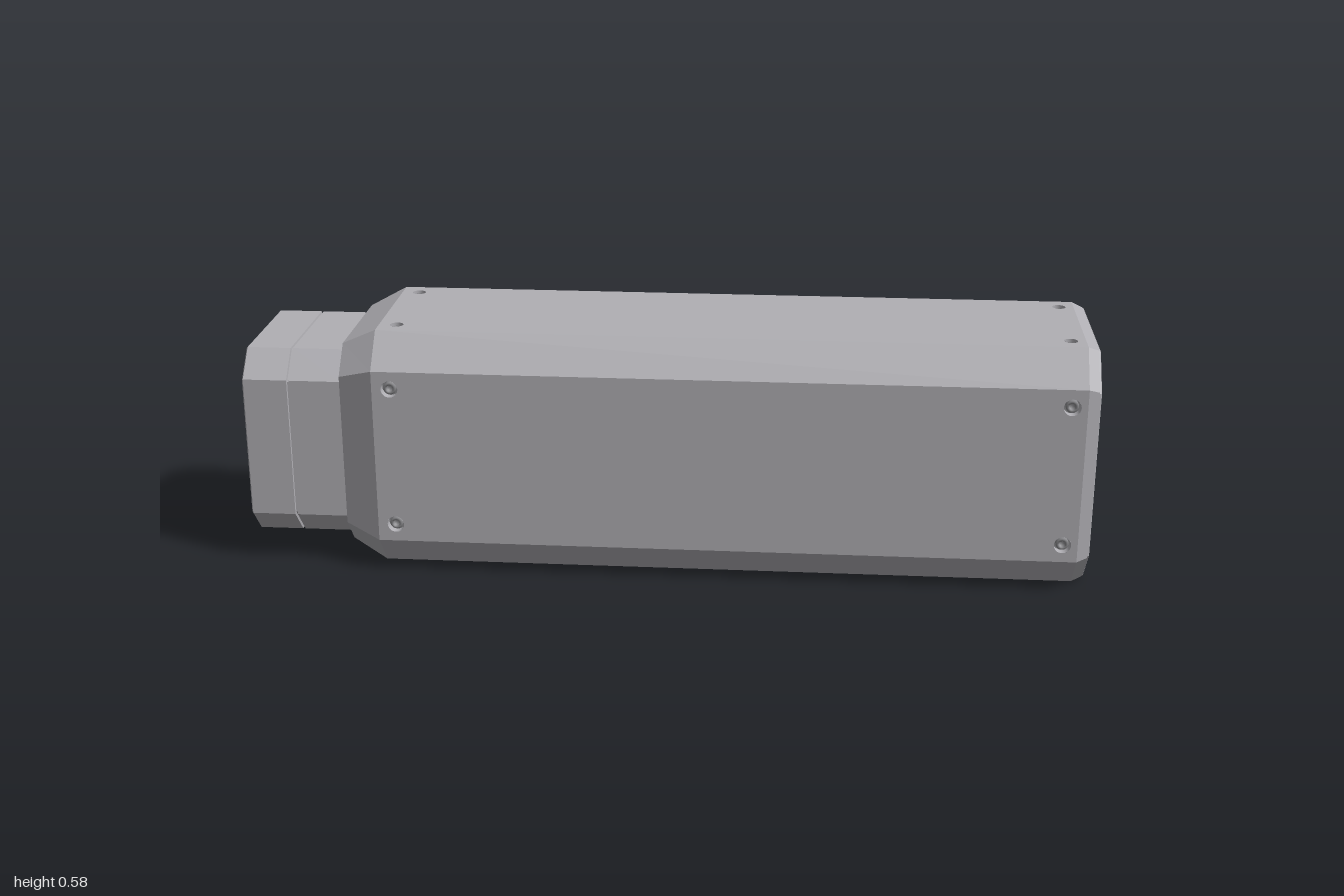
import * as THREE from 'three';

const mat = (name, color, side = THREE.FrontSide) => {
  const m = new THREE.MeshStandardMaterial({ color, side });
  m.name = name;
  return m;
};

export function createModel() {
  const shell = mat('shellGrey', 0xb0afb4, THREE.DoubleSide);
  const steel = mat('boltGrey', 0x89898c);
  const blue = mat('lensBlue', 0x0e3460);
  const dark = mat('lensDark', 0x26243a);

  const root = new THREE.Group();
  root.name = 'housing';
  // The long axis is built along local z, then turned to lie along x
  const axis = new THREE.Group();
  axis.name = 'assembly';
  axis.rotation.y = Math.PI / 2;
  axis.position.y = 0.2925;
  root.add(axis);

  const add = (parent, name, geo, material, z = 0, x = 0, y = 0) => {
    const m = new THREE.Mesh(geo, material);
    m.name = name;
    m.position.set(x, y, z);
    parent.add(m);
    return m;
  };

  // Octagonal outline, counterclockwise, starting with the right flat
  const octagon = (hx, hy, cx, cy) => [
    [hx, cy - hy], [hx, hy - cy], [hx - cx, hy], [cx - hx, hy],
    [-hx, hy - cy], [-hx, cy - hy], [cx - hx, -hy], [hx - cx, -hy],
  ];
  const shapeOf = (pts) => new THREE.Shape(pts.map((p) => new THREE.Vector2(...p)));
  const circleHole = (shape, x, y, r) => {
    shape.holes.push(new THREE.Path().absarc(x, y, r, 0, Math.PI * 2, true));
  };

  // Skin through octagonal sections [z, hx, hy, cx, cy]
  const loft = (sections, skip = () => false) => {
    const pos = [];
    for (let s = 0; s < sections.length - 1; s++) {
      const [A, B] = [sections[s], sections[s + 1]].map(([z, ...o]) => octagon(...o).map((p) => [...p, z]));
      for (let i = 0; i < 8; i++) {
        if (skip(i, s)) continue;
        const j = (i + 1) % 8;
        pos.push(...A[i], ...A[j], ...B[j], ...A[i], ...B[j], ...B[i]);
      }
    }
    const g = new THREE.BufferGeometry();
    g.setAttribute('position', new THREE.Float32BufferAttribute(pos, 3));
    g.computeVertexNormals();
    return g;
  };

  // Recessed socket screw, facing local +z
  const screw = (parent, x, y, z, r) => {
    const g = new THREE.Group();
    g.name = 'screw';
    g.position.set(x, y, z);
    parent.add(g);
    const bore = new THREE.CylinderGeometry(r, r, 0.02, 20, 1, true).rotateX(Math.PI / 2);
    add(g, 'screwBore', bore, shell, -0.01);
    add(g, 'screwSeat', new THREE.CircleGeometry(r, 20), steel, -0.02);
    const profile = [[0, 0.004], [r * 0.4, 0.004], [r * 0.4, 0.014], [r * 0.65, 0.014], [r * 0.75, 0.011], [r * 0.75, 0]];
    const head = new THREE.LatheGeometry(profile.map((p) => new THREE.Vector2(...p)).reverse(), 16);
    add(g, 'screwHead', head.rotateX(Math.PI / 2), steel, -0.02);
  };

  // Main body: rear taper, long chamfered tube, front bevel
  const HX = 0.25, HY = 0.2925, CX = 0.07, CY = 0.08;
  const z0 = -0.68, z1 = 0.97;
  add(axis, 'bodyShell', loft([
    [-0.765, 0.213, 0.25, 0.058, 0.065],
    [z0, HX, HY, CX, CY],
    [z1, HX, HY, CX, CY],
    [0.995, 0.24, 0.2825, 0.068, 0.078],
  ], (i, s) => s === 1 && i % 2 === 0), shell);

  // Four long cover panels with a screw near each corner
  const L = new THREE.Vector3(0, 0, 1);
  const mid = (z0 + z1) / 2, half = (z1 - z0) / 2;
  const panels = [
    ['backPanel', 1, 0, HX, HY - CY, 0.17, 0.02],
    ['frontPanel', -1, 0, HX, HY - CY, 0.17, 0.02],
    ['topPanel', 0, 1, HY, HX - CX, 0.135, 0.016],
    ['bottomPanel', 0, -1, HY, HX - CX, 0.135, 0.016],
  ];
  for (const [name, nx, ny, dist, hw, sy, r] of panels) {
    const n = new THREE.Vector3(nx, ny, 0);
    const g = new THREE.Group();
    g.name = name;
    g.quaternion.setFromRotationMatrix(new THREE.Matrix4().makeBasis(L, n.clone().cross(L), n));
    g.position.copy(n).multiplyScalar(dist).addScaledVector(L, mid);
    axis.add(g);
    const shape = shapeOf([[-half, -hw], [half, -hw], [half, hw], [-half, hw]]);
    for (const px of [-0.638, 0.935]) for (const py of [-sy, sy]) {
      circleHole(shape, px - mid, py, r);
      screw(g, px - mid, py, 0, r);
    }
    add(g, name + 'Skin', new THREE.ShapeGeometry(shape), shell);
  }

  // Tail block with a fine seam groove
  const tail = (z, inset = 0) => [z, 0.208 - inset, 0.2325 - inset, 0.058, 0.062];
  add(axis, 'tailBlock', loft([
    tail(-1, 0.003), tail(-0.997), tail(-0.893), tail(-0.892, 0.005), tail(-0.888, 0.005), tail(-0.887), tail(-0.765),
  ]), shell);

  // Split oval lens: blue rounded rims around dark halves, over a dark disc
  const lens = (parent, base) => {
    const g = new THREE.Group();
    g.name = 'lens';
    g.position.set(0, 0.003, base);
    parent.add(g);
    add(g, 'lensBacking', new THREE.CircleGeometry(0.181, 64), dark, 0);
    for (const s of [0, Math.PI]) {
      const rim = new THREE.Shape();
      rim.absellipse(0, 0.012, 0.17, 0.13, 0, Math.PI, false);
      rim.absellipse(0, 0.012, 0.142, 0.11, Math.PI, 0, true);
      const rimGeo = new THREE.ExtrudeGeometry(rim, {
        depth: 0.008, curveSegments: 40, bevelSize: 0.012, bevelThickness: 0.012, bevelSegments: 4,
      });
      add(g, 'lensRim', rimGeo, blue, 0.018).rotation.z = s;
      const glass = new THREE.Shape().absellipse(0, 0.001, 0.136, 0.122, 0, Math.PI, false);
      const glassGeo = new THREE.ExtrudeGeometry(glass, { depth: 0.034, curveSegments: 40, bevelEnabled: false });
      add(g, 'lensGlass', glassGeo, dark, 0.002).rotation.z = s;
    }
  };
  const boreWall = (parent, r, zFrom, zTo) => {
    const g = new THREE.CylinderGeometry(r, r, zTo - zFrom, 64, 1, true).rotateX(Math.PI / 2);
    add(parent, 'lensBore', g, shell, (zFrom + zTo) / 2, 0, 0.003);
  };

  // Front end: raised frame around a recessed floor
  const front = new THREE.Group();
  front.name = 'frontEnd';
  axis.add(front);
  const quarter = [[0.2, 0], [0.196, 0.1], [0.2, 0.14], [0.222, 0.155], [0.227, 0.19], [0.208, 0.214],
    [0.178, 0.212], [0.15, 0.196], [0.132, 0.187], [0.095, 0.187], [0.082, 0.2]];
  const flipX = quarter.slice().reverse().map(([x, y]) => [-x, y]);
  const upper = [...quarter, ...flipX];
  const lower = upper.slice(1, -1).map(([x, y]) => [-x, -y]);
  const frame = shapeOf(octagon(0.235, 0.2775, 0.068, 0.078));
  frame.holes.push(new THREE.Path([...upper, ...lower].map((p) => new THREE.Vector2(...p))));
  for (const x of [-0.126, 0.126]) for (const y of [-0.236, 0.236]) circleHole(frame, x, y, 0.013);
  add(front, 'frontFrame', new THREE.ExtrudeGeometry(frame, {
    depth: 0.025, curveSegments: 16, bevelSize: 0.005, bevelThickness: 0.005, bevelSegments: 2,
  }), shell, 0.97);
  const floor = shapeOf(octagon(0.238, 0.28, 0.068, 0.078));
  circleHole(floor, 0, 0.003, 0.18);
  add(front, 'recessFloor', new THREE.ExtrudeGeometry(floor, {
    depth: 0.01, curveSegments: 48, bevelEnabled: false,
  }), shell, 0.957);
  boreWall(front, 0.18, 0.945, 0.962);
  lens(front, 0.953);

  // Hex bolts on round bosses, and small upright ribs beside the lens
  for (const x of [-0.149, 0.149]) for (const y of [-0.13, 0.134]) {
    const boss = new THREE.CylinderGeometry(0.025, 0.028, 0.012, 24).rotateX(Math.PI / 2);
    add(front, 'boltBoss', boss, shell, 0.972, x, y);
    const bolt = new THREE.CylinderGeometry(0.017, 0.02, 0.014, 6).rotateX(Math.PI / 2);
    add(front, 'bolt', bolt, steel, 0.984, x, y);
    add(front, 'sideRib', new THREE.BoxGeometry(0.01, 0.03, 0.014), shell, 0.973, Math.sign(x) * 0.184, y * 0.76);
  }

  // Rear end: shoulder behind the taper and the tail face
  const rear = new THREE.Group();
  rear.name = 'rearEnd';
  rear.rotation.y = Math.PI;
  axis.add(rear);
  const shoulder = shapeOf(octagon(0.213, 0.25, 0.058, 0.065));
  add(rear, 'shoulder', new THREE.ShapeGeometry(shoulder), shell, 0.765);
  const face = shapeOf(octagon(0.205, 0.2295, 0.058, 0.062));
  circleHole(face, 0, 0.003, 0.184);
  for (const x of [-0.162, 0.162]) for (const y of [-0.182, 0.182]) {
    circleHole(face, x, y, 0.02);
    screw(rear, x, y, 1, 0.02);
  }
  add(rear, 'tailFace', new THREE.ShapeGeometry(face, 48), shell, 1);
  boreWall(rear, 0.184, 0.95, 1);
  lens(rear, 0.952);

  return root;
}
